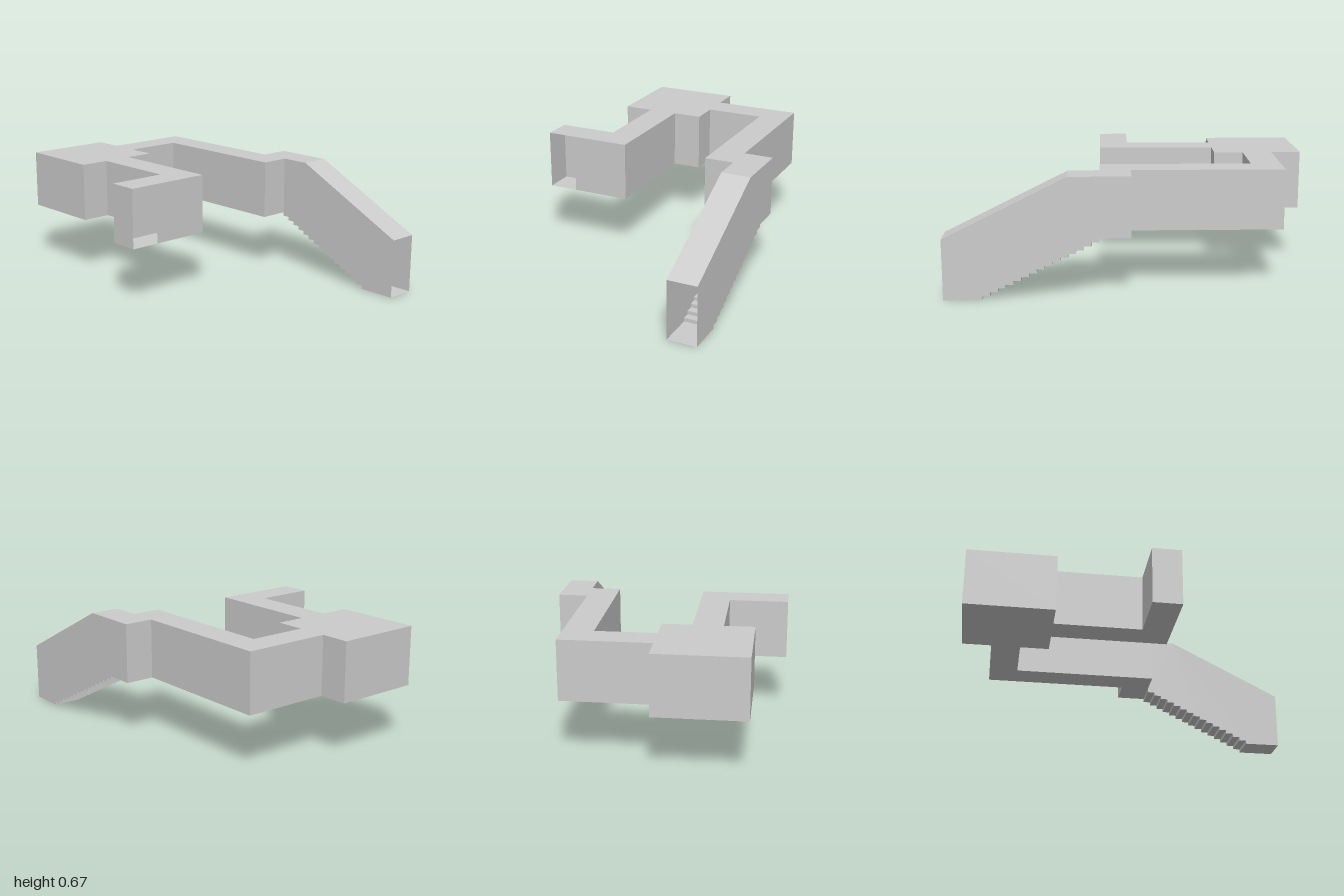
import * as THREE from 'three';

const U = 1 / 6;              // corridor width
const FLOOR = 2 * U, ROOF = 4 * U;
const STEPS = 16, RISE = FLOOR / STEPS, RUN = U / 4;

const material = new THREE.MeshStandardMaterial({
  color: 0xcccccc, flatShading: true, side: THREE.DoubleSide,
});

// Plan outline [x, z] in corridor widths; edges starting at a doorway index stay open
const PLAN = [
  [-3, -6], [0, -6], [0, -5], [3, -5], [3, 0], [4, 0], [4, 1], [3, 1], [2, 1], [2, -4],
  [0, -4], [0, -3], [-1, -3], [-1, 1], [-3, 1], [-4, 1], [-4, 0], [-2, 0], [-2, -3], [-3, -3],
].map(([x, z]) => [x * U, z * U]);
const DOORWAYS = [6, 14];

function addMesh(group, name, geometry) {
  const mesh = new THREE.Mesh(geometry, material);
  mesh.name = name;
  group.add(mesh);
  return mesh;
}

// Sheet geometry from four-cornered panels
function panels(list) {
  const positions = [];
  for (const [a, b, c, d] of list) positions.push(...a, ...b, ...c, ...a, ...c, ...d);
  const geometry = new THREE.BufferGeometry();
  geometry.setAttribute('position', new THREE.Float32BufferAttribute(positions, 3));
  geometry.computeVertexNormals();
  return geometry;
}

// Strip that sweeps a [z, y] profile from x0 to x1
function strip(profile, x0, x1) {
  return panels(profile.slice(1).map(([z, y], i) => {
    const [pz, py] = profile[i];
    return [[x0, py, pz], [x0, y, z], [x1, y, z], [x1, py, pz]];
  }));
}

// Horizontal sheet over the whole plan, facing up or down
function planSheet(y, up) {
  const s = up ? -1 : 1;
  const shape = new THREE.Shape(PLAN.map(([x, z]) => new THREE.Vector2(x, s * z)));
  return new THREE.ShapeGeometry(shape).rotateX(s * Math.PI / 2).translate(0, y, 0);
}

export function createModel() {
  const model = new THREE.Group();
  model.name = 'corridors';

  // Room and level corridors
  const level = new THREE.Group();
  level.name = 'levelCorridors';
  model.add(level);
  addMesh(level, 'floor', planSheet(FLOOR, false));
  addMesh(level, 'ceiling', planSheet(ROOF, true));
  const walls = [];
  PLAN.forEach(([ax, az], i) => {
    if (DOORWAYS.includes(i)) return;
    const [bx, bz] = PLAN[(i + 1) % PLAN.length];
    walls.push([[ax, FLOOR, az], [ax, ROOF, az], [bx, ROOF, bz], [bx, FLOOR, bz]]);
  });
  addMesh(level, 'walls', panels(walls));

  // Staircase going down to an open front end
  const stairs = new THREE.Group();
  stairs.name = 'staircase';
  model.add(stairs);
  const x0 = 3 * U, x1 = 4 * U;

  const treads = [[1, 0]];
  for (let i = 0; i < STEPS; i++) {
    const z = U + (STEPS - 1 - i) * RUN;
    treads.push([z, i * RISE], [z, (i + 1) * RISE]);
  }
  const roof = [[U, ROOF], [2 * U, ROOF], [1, FLOOR]];
  addMesh(stairs, 'steps', strip(treads, x0, x1));
  addMesh(stairs, 'slopedRoof', strip(roof, x0, x1));

  // Side walls follow the steps below and the roof above
  const side = new THREE.Shape([...treads, ...roof].map(([z, y]) => new THREE.Vector2(-z, y)));
  addMesh(stairs, 'outerWall', new THREE.ShapeGeometry(side).rotateY(Math.PI / 2).translate(x1, 0, 0));
  addMesh(stairs, 'innerWall', new THREE.ShapeGeometry(side).rotateY(Math.PI / 2).translate(x0, 0, 0));

  return model;
}
